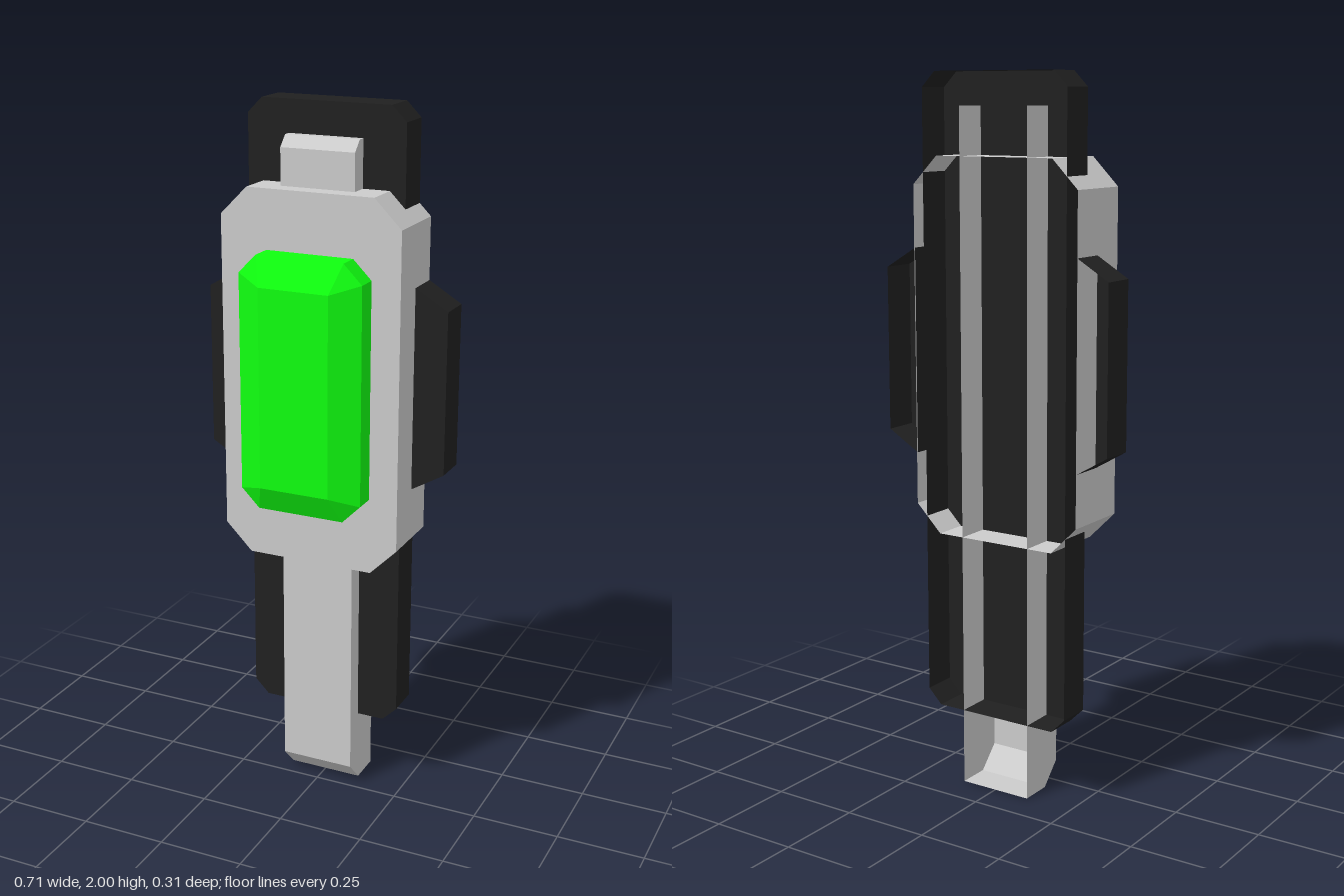
import * as THREE from 'three';

const makeMaterial = (color) => new THREE.MeshStandardMaterial({ color, flatShading: true, side: THREE.DoubleSide });

// Open-backed shell: rings of points (counter-clockwise from the front), back to front, with a front cap
function shell(name, rings, material) {
  const pos = [];
  const tri = (a, b, c) => {
    const area = new THREE.Triangle(a, b, c).getArea();
    if (area > 1e-8) for (const p of [a, b, c]) pos.push(p.x, p.y, p.z);
  };
  for (let r = 0; r < rings.length - 1; r++) {
    const a = rings[r], b = rings[r + 1], n = a.length;
    for (let i = 0; i < n; i++) {
      const j = (i + 1) % n;
      tri(a[i], a[j], b[j]);
      tri(a[i], b[j], b[i]);
    }
  }
  const cap = rings[rings.length - 1];
  for (let i = 1; i < cap.length - 1; i++) tri(cap[0], cap[i], cap[i + 1]);
  const geometry = new THREE.BufferGeometry();
  geometry.setAttribute('position', new THREE.Float32BufferAttribute(pos, 3));
  geometry.computeVertexNormals();
  const mesh = new THREE.Mesh(geometry, material);
  mesh.name = name;
  return mesh;
}

const ring = (points, z) => points.map(([x, y]) => new THREE.Vector3(x, y, z));

// Rectangle with cut corners, centred on x
function octagon(w, y0, y1, cx, cy, z) {
  return ring([
    [w, y0 + cy], [w, y1 - cy], [w - cx, y1], [cx - w, y1],
    [-w, y1 - cy], [-w, y0 + cy], [cx - w, y0], [w - cx, y0],
  ], z);
}

export function createModel() {
  const group = new THREE.Group();
  const grey = makeMaterial(0xcccccc);
  const dark = makeMaterial(0x202020);
  const green = makeMaterial(0x10ff10);
  const back = -0.153;

  // Long dark plate behind everything
  group.add(shell('backPlate', [back, -0.053].map((z) => octagon(0.23, 0.217, 2, 0.042, 0.042, z)), dark));

  // Central strap with sloped ends
  const s = 0.108;
  const strapRing = (y0, z0, y1, z1) => [
    new THREE.Vector3(s, y0, z0), new THREE.Vector3(s, y1, z1),
    new THREE.Vector3(-s, y1, z1), new THREE.Vector3(-s, y0, z0),
  ];
  group.add(shell('strap', [
    strapRing(0, back, 1.91, back),
    strapRing(0, -0.06, 1.91, -0.03),
    strapRing(0.063, 0, 1.88, 0),
  ], grey));

  // Main housing
  group.add(shell('housing', [back, 0.05].map((z) => octagon(0.263, 0.728, 1.778, 0.078, 0.078, z)), grey));

  // Side wings
  for (const side of [1, -1]) {
    const points = [[0.26, 0.953], [0.357, 1.01], [0.357, 1.47], [0.26, 1.528]].map(([x, y]) => [side * x, y]);
    if (side < 0) points.reverse();
    group.add(shell(side > 0 ? 'leftWing' : 'rightWing', [back, -0.053].map((z) => ring(points, z)), dark));
  }

  // Faceted gem, narrowing to a rectangular face
  group.add(shell('gem', [
    octagon(0.18, 0.893, 1.613, 0.053, 0.053, 0.05),
    octagon(0.18, 0.893, 1.613, 0.053, 0.053, 0.111),
    octagon(0.102, 0.97, 1.535, 0, 0, 0.153),
  ], green));

  return group;
}
